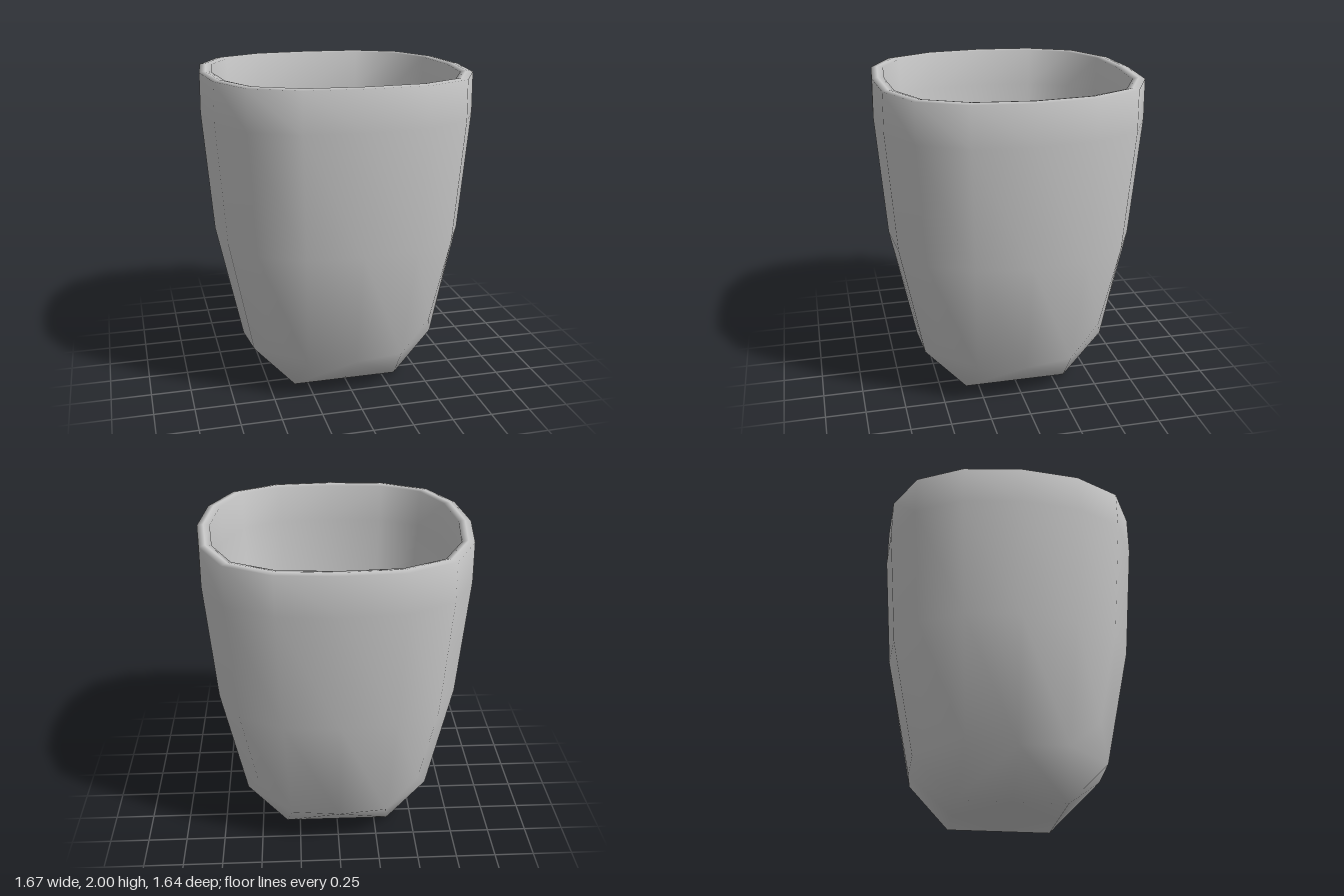
import * as THREE from 'three';

const BASE = 0.337;
const BASE_WALL = 0.07;

// Rounded-square ring of 16 points, walked from +x towards +z
const border = [];
for (let k = 0; k < 16; k++) {
  const side = Math.floor((k + 2) / 4) % 4, t = ((k + 2) % 4) - 2;
  border.push([[2, t], [-t, 2], [-2, -t], [t, -2]][side]);
}

// Wall rings from the lower bend to the rim. Ratios to the radius: how far out the
// half-way and corner points lie, and how far sideways the half-way points sit.
const upper = { lift: [0, 0, 0], out: [1, 0.95, 0.775], across: 0.435 };
const rows = [
  { radius: 0.615, y: 0.25, wall: 0.07, lift: [0, 0.017, 0.2], out: [1, 0.96, 0.825], across: 0.49 },
  { radius: 0.775, y: 1.0, wall: 0.07, ...upper },
  { radius: 0.835, y: 1.75, wall: 0.087, ...upper },
  { radius: 0.832, y: 1.993, wall: 0.077, ...upper },
];
// Crest of the softly rounded rim, between the two skins
const crest = { radius: 0.794, y: 2.0, ...upper };

function ringPoint([i, j], { radius, y, lift, out, across }) {
  const place = (a, b) => radius * (Math.abs(a) === 2 ? Math.sign(a) * out[Math.abs(b)] : a * across);
  // The front and back faces bulge a little less than the sides
  const depth = i === 0 ? 0.98 : 0.998;
  return [place(i, j), y + lift[Math.min(Math.abs(i), Math.abs(j))], place(j, i) * depth];
}

function cupGeometry() {
  const points = [], faces = [];
  const quad = (a, b, c, d) => faces.push(a, b, c, a, c, d);
  // Strip between two rings of 16, given the first index of each
  const strip = (lo, hi) => {
    for (let k = 0; k < 16; k++) {
      const n = (k + 1) % 16;
      quad(lo + k, hi + k, hi + n, lo + n);
    }
  };

  // Outer wall
  rows.forEach((row) => border.forEach((cell) => points.push(...ringPoint(cell, row))));
  for (let r = 0; r < rows.length - 1; r++) strip(r * 16, r * 16 + 16);

  // Base: a flat 3 x 3 patch joined to the lowest ring
  const baseStart = points.length / 3;
  for (let i = -1; i <= 1; i++) {
    for (let j = -1; j <= 1; j++) points.push(i * BASE, 0, j * BASE * 0.985);
  }
  const baseIndex = (i, j) => Math.max(Math.abs(i), Math.abs(j)) < 2
    ? baseStart + (i + 1) * 3 + j + 1
    : border.findIndex((c) => c[0] === i && c[1] === j);
  for (let i = -2; i < 2; i++) {
    for (let j = -2; j < 2; j++) {
      const ring = [baseIndex(i, j), baseIndex(i + 1, j), baseIndex(i + 1, j + 1), baseIndex(i, j + 1)];
      // Split along the diagonal that keeps the four corners rounded outwards
      if ((i < 0) === (j < 0)) quad(ring[1], ring[2], ring[3], ring[0]);
      else quad(...ring);
    }
  }

  // Inner skin: the outer one pushed inwards along its normals and turned over
  const skin = new THREE.BufferGeometry();
  skin.setAttribute('position', new THREE.Float32BufferAttribute(points, 3));
  skin.setIndex(faces.slice());
  skin.computeVertexNormals();
  const count = points.length / 3, normal = skin.attributes.normal;
  for (let v = 0; v < count; v++) {
    const wall = v < baseStart ? rows[Math.floor(v / 16)].wall : BASE_WALL;
    points.push(
      points[v * 3] - normal.getX(v) * wall,
      points[v * 3 + 1] - normal.getY(v) * wall,
      points[v * 3 + 2] - normal.getZ(v) * wall
    );
  }
  const outerLength = faces.length;
  for (let f = 0; f < outerLength; f += 3) {
    faces.push(faces[f] + count, faces[f + 2] + count, faces[f + 1] + count);
  }

  // Rim: up from the outer skin to the crest and down to the inner skin
  const rim = (rows.length - 1) * 16, crestStart = count * 2;
  border.forEach((cell) => points.push(...ringPoint(cell, crest)));
  strip(rim, crestStart);
  strip(crestStart, rim + count);

  const geometry = new THREE.BufferGeometry();
  geometry.setAttribute('position', new THREE.Float32BufferAttribute(points, 3));
  geometry.setIndex(faces);
  geometry.computeVertexNormals();
  return geometry;
}

export function createModel() {
  const group = new THREE.Group();
  group.name = 'cup';
  const body = new THREE.Mesh(cupGeometry(), new THREE.MeshStandardMaterial({ color: 0xcccccc }));
  body.name = 'cupBody';
  group.add(body);
  return group;
}
